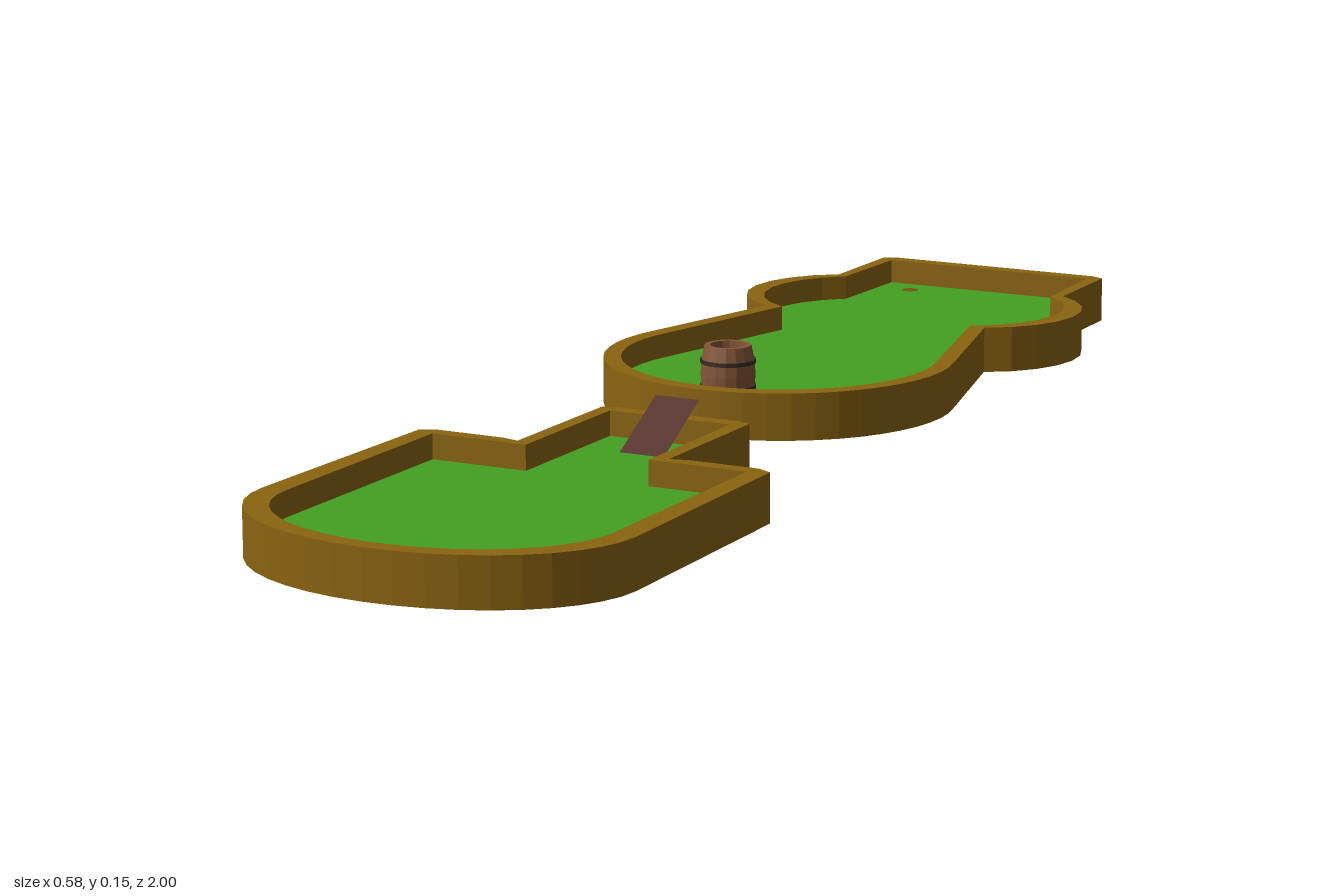
import * as THREE from 'three';

const mat = (color, extra = {}) => new THREE.MeshStandardMaterial({ color, ...extra });

function mesh(name, geometry, material) {
  const m = new THREE.Mesh(geometry, material);
  m.name = name;
  return m;
}

// Points on an ellipse in the ground plane; angles in degrees, 0 = +x, 90 = +z
function arc(cx, cz, rx, rz, from, to, n) {
  return Array.from({ length: n + 1 }, (_, i) => {
    const a = THREE.MathUtils.degToRad(from + ((to - from) * i) / n);
    return [cx + rx * Math.cos(a), cz + rz * Math.sin(a)];
  });
}

// Mirrors a +x half outline into a closed loop of shape points (shape y = -z)
function mirrored(half) {
  const other = half.filter(([x]) => x > 1e-4).reverse().map(([x, z]) => [-x, z]);
  return [...half, ...other].map(([x, z]) => new THREE.Vector2(x, -z));
}

// One lane: a wooden border around a green floor that sits part way up
function lane(name, outer, inner, y0, y1, floorY, holes = []) {
  const group = new THREE.Group();
  group.name = name;
  const ring = new THREE.Shape(mirrored(outer));
  ring.holes.push(new THREE.Path(mirrored(inner)));
  const wall = new THREE.ExtrudeGeometry(ring, { depth: y1 - y0, bevelEnabled: false });
  wall.rotateX(-Math.PI / 2).translate(0, y0, 0);
  const floorShape = new THREE.Shape(mirrored(inner));
  for (const [x, z, r] of holes) {
    floorShape.holes.push(new THREE.Path().absarc(x, -z, r, 0, Math.PI * 2, true));
  }
  const floor = new THREE.ShapeGeometry(floorShape, 8);
  floor.rotateX(-Math.PI / 2).translate(0, floorY, 0);
  group.add(
    mesh('border', wall, mat(0x8b6410)),
    mesh('turf', floor, mat(0x43a021, { side: THREE.DoubleSide })),
  );
  return group;
}

export function createModel() {
  const model = new THREE.Group();
  model.name = 'miniGolfHole';

  // Lower lane with the tee: rounded front end, narrow neck at the back
  const lowerOuter = [
    ...arc(0, 0.79, 0.29, 0.21, 90, 0, 10),
    [0.283, 0.39], [0.26, 0.378], [0.15, 0.378], [0.122, 0.385],
    [0.122, 0.138], [0.1, 0.13],
  ];
  const lowerInner = [
    ...arc(0, 0.785, 0.253, 0.187, 90, 0, 10),
    [0.253, 0.402], [0.099, 0.402], [0.099, 0.155],
  ];
  const lowerFloor = 0.035;
  const lower = lane('lowerLane', lowerOuter, lowerInner, 0, 0.073, lowerFloor);

  const tee = new THREE.PlaneGeometry(0.056, 0.028).rotateX(-Math.PI / 2);
  tee.translate(0, lowerFloor + 0.001, 0.92);
  lower.add(mesh('teeMat', tee, mat(0xb4b4b4)));

  // Thin jump ramp rising over the back border of the neck
  const rampLow = [lowerFloor, 0.24], rampHigh = [0.098, 0.13];
  const dy = rampHigh[0] - rampLow[0], dz = rampLow[1] - rampHigh[1];
  const ramp = new THREE.PlaneGeometry(0.072, Math.hypot(dy, dz));
  ramp.rotateX(-Math.atan2(dz, dy));
  ramp.translate(0, (rampLow[0] + rampHigh[0]) / 2, (rampLow[1] + rampHigh[1]) / 2);
  lower.add(mesh('ramp', ramp, mat(0x4e1c10, { side: THREE.DoubleSide })));

  // Upper lane with two round lobes and a square end
  const upperOuter = [
    ...arc(0, -0.2, 0.268, 0.268, 90, -17, 14),
    ...arc(0.117, -0.68, 0.165, 0.165, 63, -59, 8),
    [0.2, -0.99], [0.18, -1],
  ];
  const upperInner = [
    ...arc(0, -0.2, 0.241, 0.241, 90, -17, 14),
    ...arc(0.089, -0.68, 0.162, 0.162, 62, -54, 8),
    [0.178, -0.975],
  ];
  const upperFloor = 0.06;
  const upper = lane('upperLane', upperOuter, upperInner, 0.027, 0.098, upperFloor,
    [[-0.122, -0.93, 0.014]]);

  // Open barrel that catches the ball
  const barrel = new THREE.Group();
  barrel.name = 'barrel';
  barrel.position.set(0, upperFloor, -0.03);
  const profile = [
    [0, 0.012], [0.026, 0.012], [0.027, 0.087], [0.035, 0.087], [0.04, 0.063],
    [0.041, 0.043], [0.04, 0.024], [0.035, -0.001], [0.026, -0.001],
  ].reverse().map(([r, y]) => new THREE.Vector2(r, y));
  barrel.add(mesh('staves', new THREE.LatheGeometry(profile, 16),
    mat(0x855637, { flatShading: true, side: THREE.DoubleSide })));
  for (const y of [0.024, 0.063]) {
    const hoop = new THREE.CylinderGeometry(0.042, 0.042, 0.006, 16);
    // ring band only: open inside, with top and bottom edges
    const band = [[0.037, -0.003], [0.042, -0.003], [0.042, 0.003], [0.037, 0.003]];
    hoop.dispose();
    const ring = mesh('hoop', new THREE.LatheGeometry(band.map(([r, h]) => new THREE.Vector2(r, h)), 16),
      mat(0x3a2c26, { flatShading: true }));
    ring.position.y = y;
    barrel.add(ring);
  }
  upper.add(barrel);

  model.add(lower, upper);
  return model;
}
